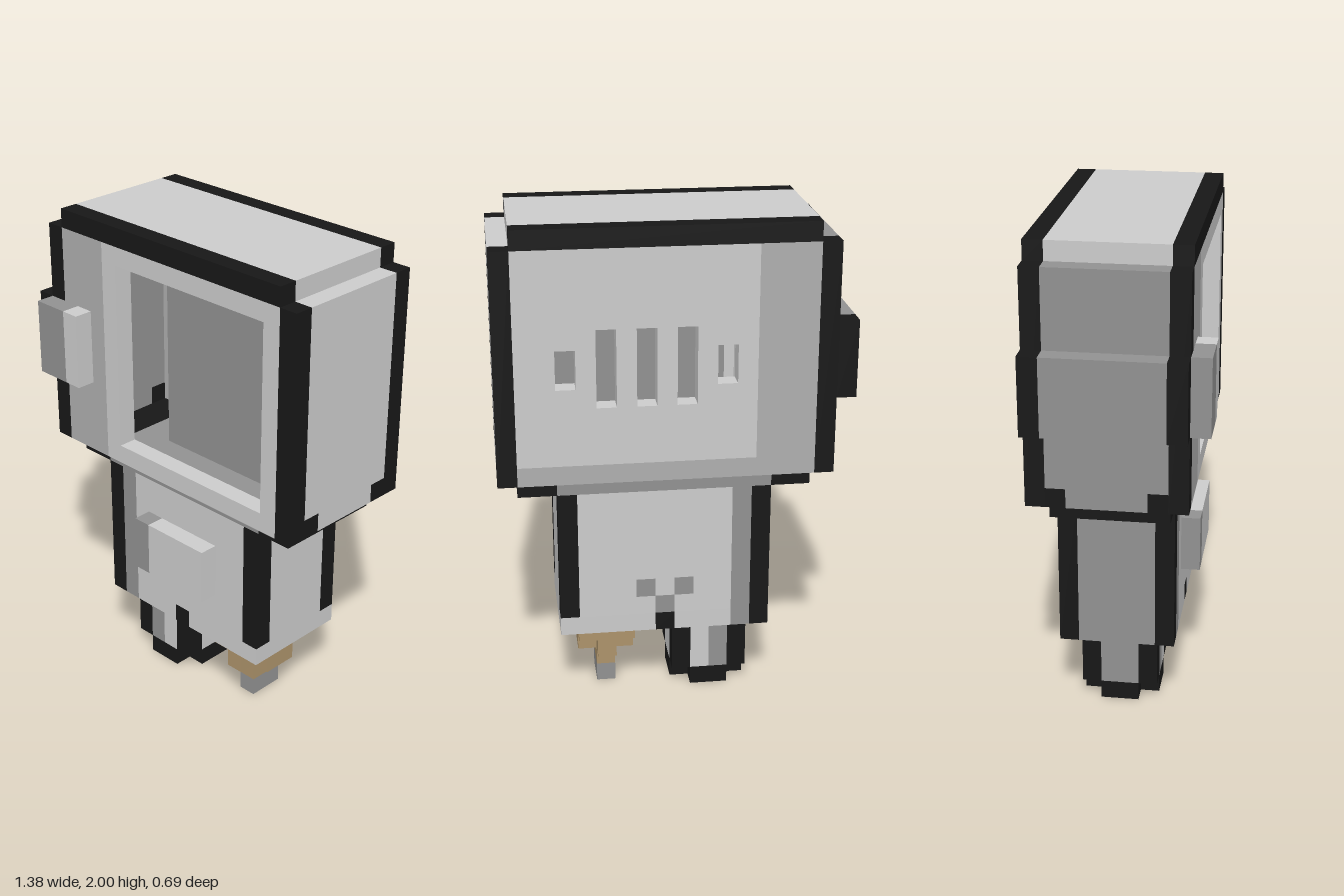
import * as THREE from 'three';

const U = 2 / 26; // one block
const material = (color) => new THREE.MeshStandardMaterial({ color, flatShading: true });

export function createModel() {
  const model = new THREE.Group();
  model.name = 'blockDevice';
  const light = material(0xcccccc), mid = material(0xaeaeae), dark = material(0x919191);
  const black = material(0x171717), brown = material(0xac926a);

  const group = (name) => {
    const g = new THREE.Group();
    g.name = name;
    model.add(g);
    return g;
  };
  // Box given by its limits in blocks
  const box = (parent, name, mat, [x0, x1], [y0, y1], [z0, z1]) => {
    const m = new THREE.Mesh(new THREE.BoxGeometry((x1 - x0) * U, (y1 - y0) * U, (z1 - z0) * U), mat);
    m.position.set((x0 + x1) / 2 * U, (y0 + y1) / 2 * U, (z0 + z1) / 2 * U);
    m.name = name;
    parent.add(m);
  };
  const trace = (path, [x0, x1], [y0, y1]) => {
    path.moveTo(x0 * U, y0 * U).lineTo(x1 * U, y0 * U).lineTo(x1 * U, y1 * U).lineTo(x0 * U, y1 * U).closePath();
    return path;
  };
  // Plate with rectangular holes
  const plate = (parent, name, mat, xs, ys, [z0, z1], holes) => {
    const shape = trace(new THREE.Shape(), xs, ys);
    for (const [hx, hy] of holes) shape.holes.push(trace(new THREE.Path(), hx, hy));
    const geo = new THREE.ExtrudeGeometry(shape, { depth: (z1 - z0) * U, bevelEnabled: false });
    const m = new THREE.Mesh(geo, mat);
    m.position.z = z0 * U;
    m.name = name;
    parent.add(m);
  };

  // Hollow head with a screen window in front and vent slots behind
  const head = group('head');
  const front = [2.5, 3.5], back = [-4.5, -3.5], inner = [-3.5, 2.5];
  plate(head, 'screenFrame', light, [-4, 8], [13, 25], front, [[[-3, 7], [14, 24]]]);
  box(head, 'frontBand', mid, [-7, -4], [13, 25], front);
  const slots = [2, 4, 4, 4, 2].map((h, i) => [[-3 + 2 * i, -2 + 2 * i], [19 - h / 2, 19 + h / 2]]);
  plate(head, 'ventPanel', light, [-4, 8], [14, 25], back, slots);
  box(head, 'backLowerBand', mid, [-4, 8], [13, 14], back);
  box(head, 'backBand', mid, [-7, -4], [13, 25], back);
  for (const z of [front, back]) {
    box(head, 'topTrim', black, [-7, 8], [25, 26], z);
    for (const x of [[-8, -7], [8, 9]]) box(head, 'cornerTrim', black, x, [13, 25], z);
  }
  box(head, 'topPanel', light, [-7, 8], [25, 26], inner);
  box(head, 'screen', dark, [-3, 8], [13, 25], [-0.2, 0]);
  for (const [x, mat] of [[[-8, -7], dark], [[8, 9], light]]) {
    box(head, 'sidePanel', mat, x, [14, 25], inner);
    box(head, 'sidePanelFoot', mat, x, [13, 14], [-2.5, 1.5]);
    for (const z of [[-3.5, -2.5], [1.5, 2.5]]) box(head, 'lowerCornerTrim', black, x, [13, 14], z);
  }
  box(head, 'basePlate', dark, [-5, 6], [12, 13], inner);
  for (const x of [[-7, -5], [6, 8]]) box(head, 'baseTrim', black, x, [12, 13], inner);

  // Side ear and the button beside it
  const ear = group('ear');
  box(ear, 'earPanel', dark, [-9, -8], [17, 21], inner);
  for (const z of [front, back]) box(ear, 'earTrim', black, [-9, -8], [17, 21], z);
  const button = group('sideButton');
  box(button, 'buttonDarkPart', dark, [-8, -6], [17, 21], [3.5, 4.5]);
  box(button, 'buttonLightPart', light, [-6, -5], [17, 21], [3.5, 4.5]);

  // Lower body
  const body = group('lowerBody');
  box(body, 'bodyCore', light, [-3, 5], [5, 12], inner);
  box(body, 'bodyBand', dark, [-4, -3], [4, 12], inner);
  box(body, 'bodyLeftPanel', light, [5, 6], [5, 12], [-2.5, 1.5]);
  box(body, 'bodyRightPanel', dark, [-5, -4], [4, 12], [-2.5, 1.5]);
  for (const z of [[-3.5, -2.5], [1.5, 2.5]]) {
    box(body, 'bodyCornerTrim', black, [5, 6], [5, 12], z);
    box(body, 'bodyCornerTrim', black, [-5, -4], [4, 12], z);
  }
  box(body, 'bodyBase', light, [-3, 0], [4, 5], inner);
  box(body, 'bodyDivider', black, [0, 1], [4, 5], inner);
  box(body, 'nozzleCollar', light, [1, 6], [4, 5], inner);
  box(body, 'frontButtonShade', dark, [-2, -1], [7, 10], [2.5, 3.5]);
  box(body, 'frontButton', light, [-1, 3], [7, 10], [2.5, 3.5]);
  for (const [x, y] of [[-1, 6], [1, 6], [0, 5]])
    box(body, 'backMark', dark, [x, x + 1], [y, y + 1], [-3.51, -3.4]);

  // Foot with black corners and a cross-shaped sole
  const foot = group('foot');
  box(foot, 'footShade', dark, [-3, -2], [1, 4], [-2.5, 1.5]);
  box(foot, 'footPanel', light, [-2, -1], [1, 4], [-2.5, 1.5]);
  box(foot, 'footRightPanel', dark, [-4, -3], [1, 4], [-1.5, 0.5]);
  box(foot, 'footLeftPanel', light, [-1, 0], [1, 4], [-1.5, 0.5]);
  for (const x of [[-4, -3], [-1, 0]])
    for (const z of [[-2.5, -1.5], [0.5, 1.5]]) box(foot, 'footCorner', black, x, [1, 4], z);
  box(foot, 'sole', black, [-4, 0], [0, 1], [-1.5, 0.5]);
  for (const z of [[-2.5, -1.5], [0.5, 1.5]]) box(foot, 'soleEnd', black, [-3, -1], [0, 1], z);

  // Stepped nozzle
  const nozzle = group('nozzle');
  box(nozzle, 'nozzleTop', brown, [2, 5], [3, 4], [-2.5, 1.5]);
  box(nozzle, 'nozzleCross', brown, [2, 5], [2, 3], [-1.5, 0.5]);
  for (const z of [[-2.5, -1.5], [0.5, 1.5]]) box(nozzle, 'nozzleCrossEnd', brown, [3, 4], [2, 3], z);
  box(nozzle, 'nozzleStem', brown, [3, 4], [1, 2], [-1.5, 0.5]);
  box(nozzle, 'nozzleTip', dark, [3, 4], [0, 1], [-1.5, 0.5]);

  return model;
}
